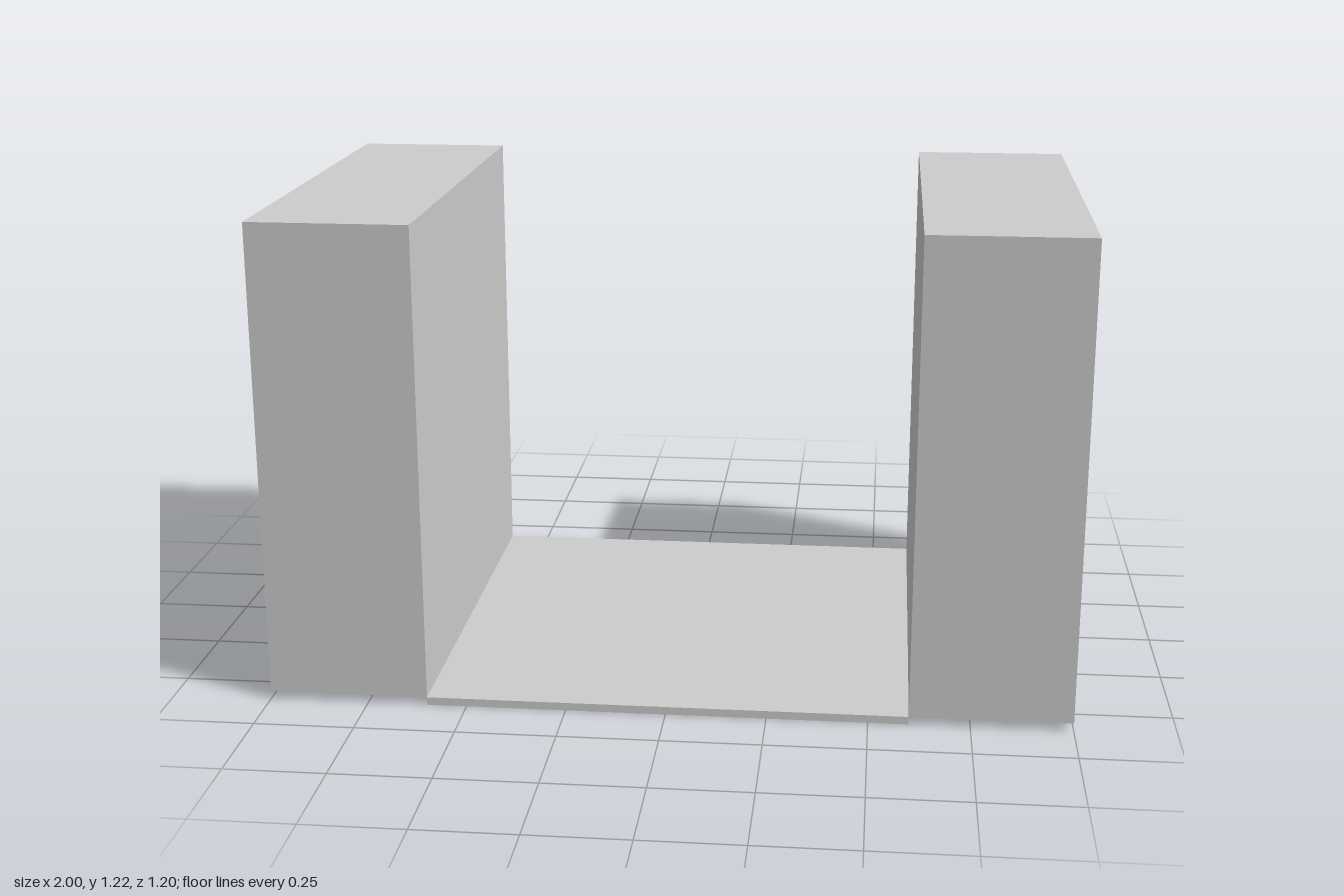
import * as THREE from 'three';

const DEPTH = 1.2;
const FLOOR_WIDTH = 1.2;
const FLOOR_THICKNESS = 0.02;
const WALL_WIDTH = 0.4;
const WALL_HEIGHT = 1.2;

export function createModel() {
  const group = new THREE.Group();
  const material = new THREE.MeshStandardMaterial({ color: 0xcccccc, flatShading: true });

  const addBox = (name, width, height, x, bottom) => {
    const mesh = new THREE.Mesh(new THREE.BoxGeometry(width, height, DEPTH), material);
    mesh.name = name;
    mesh.position.set(x, bottom + height / 2, 0);
    group.add(mesh);
  };

  // Thin floor plate between the walls
  addBox('floorPlate', FLOOR_WIDTH, FLOOR_THICKNESS, 0, 0);

  // Thick side walls, starting level with the top of the plate
  for (const [name, side] of [['leftWall', 1], ['rightWall', -1]]) {
    addBox(name, WALL_WIDTH, WALL_HEIGHT, side * (FLOOR_WIDTH + WALL_WIDTH) / 2, FLOOR_THICKNESS);
  }

  return group;
}
